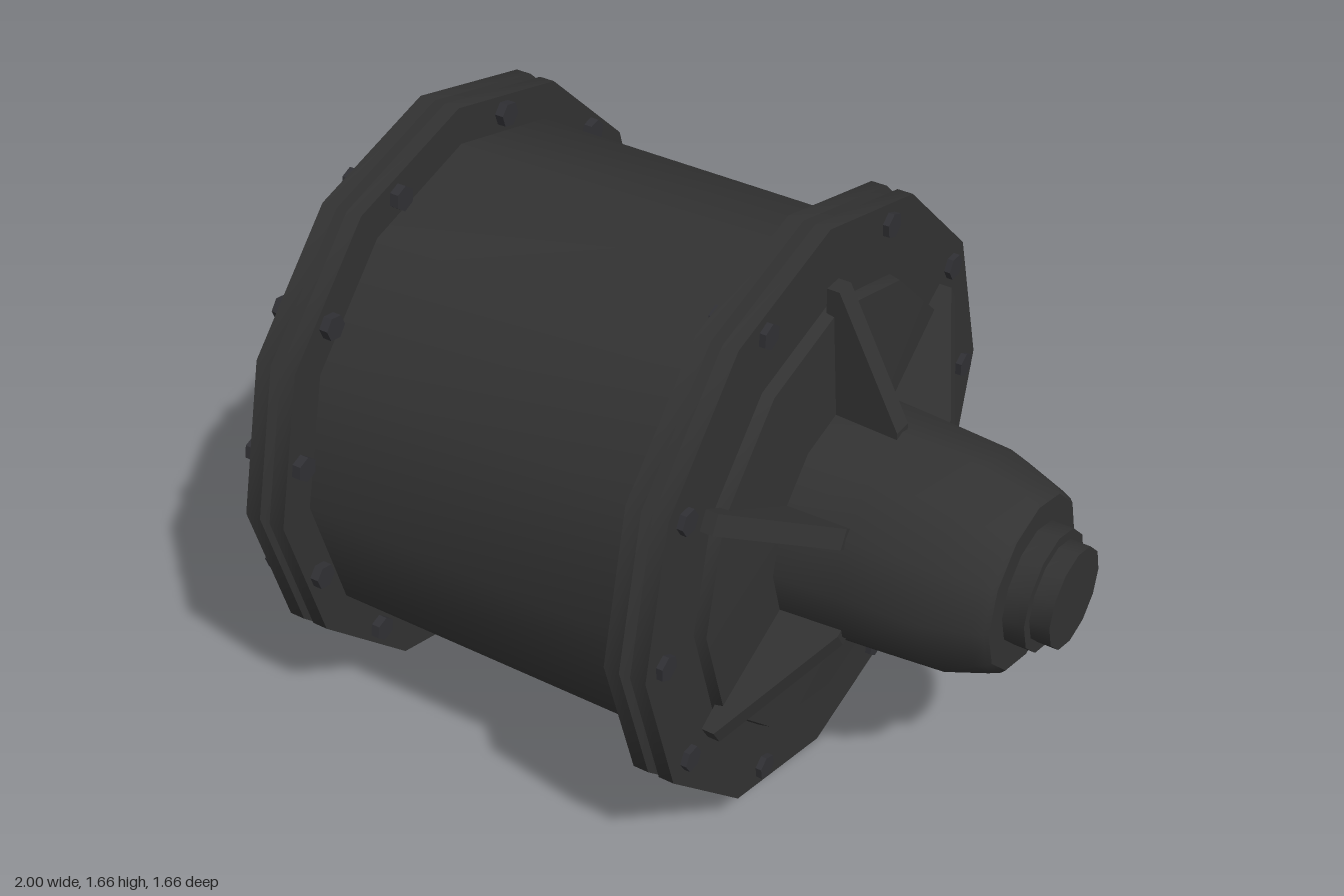
import * as THREE from 'three';
import { toCreasedNormals } from 'three/addons/utils/BufferGeometryUtils.js';

const AXIS_Y = 0.83;

export function createModel() {
  const model = new THREE.Group();
  model.name = 'motorHousing';
  const axis = new THREE.Group();
  axis.name = 'axisAssembly';
  axis.position.y = AXIS_Y;
  model.add(axis);

  const iron = new THREE.MeshStandardMaterial({ color: 0x323232 });
  iron.name = 'dark iron';
  const steel = new THREE.MeshStandardMaterial({ color: 0x303034 });
  steel.name = 'bolt steel';

  const add = (name, geometry, material = iron, parent = axis) => {
    const mesh = new THREE.Mesh(geometry, material);
    mesh.name = name;
    parent.add(mesh);
    return mesh;
  };

  // Twelve-sided turned part about the x axis; profile is [x, radius]
  const turned = (name, profile) => {
    const g = new THREE.LatheGeometry(profile.map(([x, r]) => new THREE.Vector2(r, x)), 12);
    g.rotateZ(-Math.PI / 2);
    return add(name, toCreasedNormals(g, 0.6));
  };

  // Pivot whose +y points outward at an angle measured from +z towards +y
  const spoke = (name, degrees) => {
    const pivot = new THREE.Group();
    pivot.name = name;
    pivot.rotation.x = Math.PI / 2 - THREE.MathUtils.degToRad(degrees);
    axis.add(pivot);
    return pivot;
  };

  // Main drum
  turned('drum', [[-0.86, 0.725], [0.2, 0.725]]);

  // Paired flanges with a bevelled groove between them
  const flange = (name, x0, x1) => {
    const m = (x0 + x1) / 2;
    turned(name, [[x0, 0], [x0, 0.83], [m - 0.016, 0.83], [m - 0.004, 0.79],
      [m + 0.004, 0.79], [m + 0.016, 0.83], [x1, 0.83], [x1, 0]]);
  };
  flange('rearFlange', -0.957, -0.833);
  flange('shaftFlange', 0.16, 0.28);

  // Raised cover, tapered hub and stepped shaft
  turned('coverPlate', [[0.275, 0.62], [0.312, 0.612], [0.325, 0.33], [0.325, 0]]);
  turned('hub', [[0.31, 0.325], [0.5, 0.314], [0.73, 0.298], [0.845, 0.258],
    [0.875, 0.245], [0.885, 0.235], [0.885, 0]]);
  turned('shaftCollar', [[0.87, 0.165], [0.945, 0.165], [0.945, 0]]);
  turned('shaftEnd', [[0.93, 0.137], [1.0, 0.137], [1.0, 0]]);

  // Triangular hub gussets
  const gussetShape = new THREE.Shape();
  [[0.29, 0.28], [0.5, 0.28], [0.5, 0.325], [0.325, 0.68], [0.29, 0.68]]
    .forEach(([x, y], i) => (i ? gussetShape.lineTo(x, y) : gussetShape.moveTo(x, y)));
  const gusset = new THREE.ExtrudeGeometry(gussetShape, { depth: 0.055, bevelEnabled: false });
  gusset.translate(0, 0, -0.0275);
  for (const a of [90, 30, 150, -30, -150]) add('gusset', gusset, iron, spoke('gussetPivot', a));

  // Hexagonal bolt heads on both sides of each flange
  const bolt = new THREE.CylinderGeometry(0.035, 0.035, 0.035, 6);
  bolt.rotateZ(-Math.PI / 2);
  const flatBolt = toCreasedNormals(bolt, 0.3);
  const boltRing = (name, angles, r, xs) => {
    for (const a of angles) {
      const pivot = spoke(name + 'Pivot', a);
      for (const x of xs) add(name, flatBolt, steel, pivot).position.set(x, r, 0);
    }
  };
  boltRing('shaftFlangeBolt', [0, 30, 67, 113, 150, 180, 210, 247, 293, 330], 0.753, [0.28, 0.155]);
  boltRing('rearFlangeBolt', [11, 40, 69, 104, 139, 168, 192, 230, 260, 287, 313, 343],
    0.755, [-0.97, -0.825]);

  // Radial stiffening ribs on the rear face
  for (const a of [0, 60, 90, 120, 180, 240, 270, 300]) {
    const inner = a % 180 === 0 ? 0.4 : 0.12;
    add('rearRib', new THREE.BoxGeometry(0.035, 0.68 - inner, 0.03), iron, spoke('rearRibPivot', a))
      .position.set(-0.967, (0.68 + inner) / 2, 0);
  }

  // Oblong rear hatch: a solid pad with a raised rim
  const oblong = (w, h, Type) => {
    const s = new Type();
    const k = h * 0.42;
    const pts = [[w, k], [w - h + k, h], [-(w - h + k), h], [-w, k],
      [-w, -k], [-(w - h + k), -h], [w - h + k, -h], [w, -k]];
    pts.forEach(([x, y], i) => (i ? s.lineTo(x, y) : s.moveTo(x, y)));
    s.closePath();
    return s;
  };
  const hatchPart = (name, shape, depth) => {
    const g = new THREE.ExtrudeGeometry(shape, { depth, bevelEnabled: false });
    g.rotateY(-Math.PI / 2);
    add(name, g).position.x = -0.95;
  };
  const rim = oblong(0.44, 0.175, THREE.Shape);
  rim.holes.push(oblong(0.405, 0.14, THREE.Path));
  hatchPart('hatchRim', rim, 0.043);
  hatchPart('hatchPad', oblong(0.42, 0.155, THREE.Shape), 0.032);

  // Hatch lugs above and below
  for (const s of [1, -1]) {
    add('hatchLug', new THREE.BoxGeometry(0.05, 0.13, 0.12)).position.set(-0.975, s * 0.335, 0);
  }

  return model;
}
